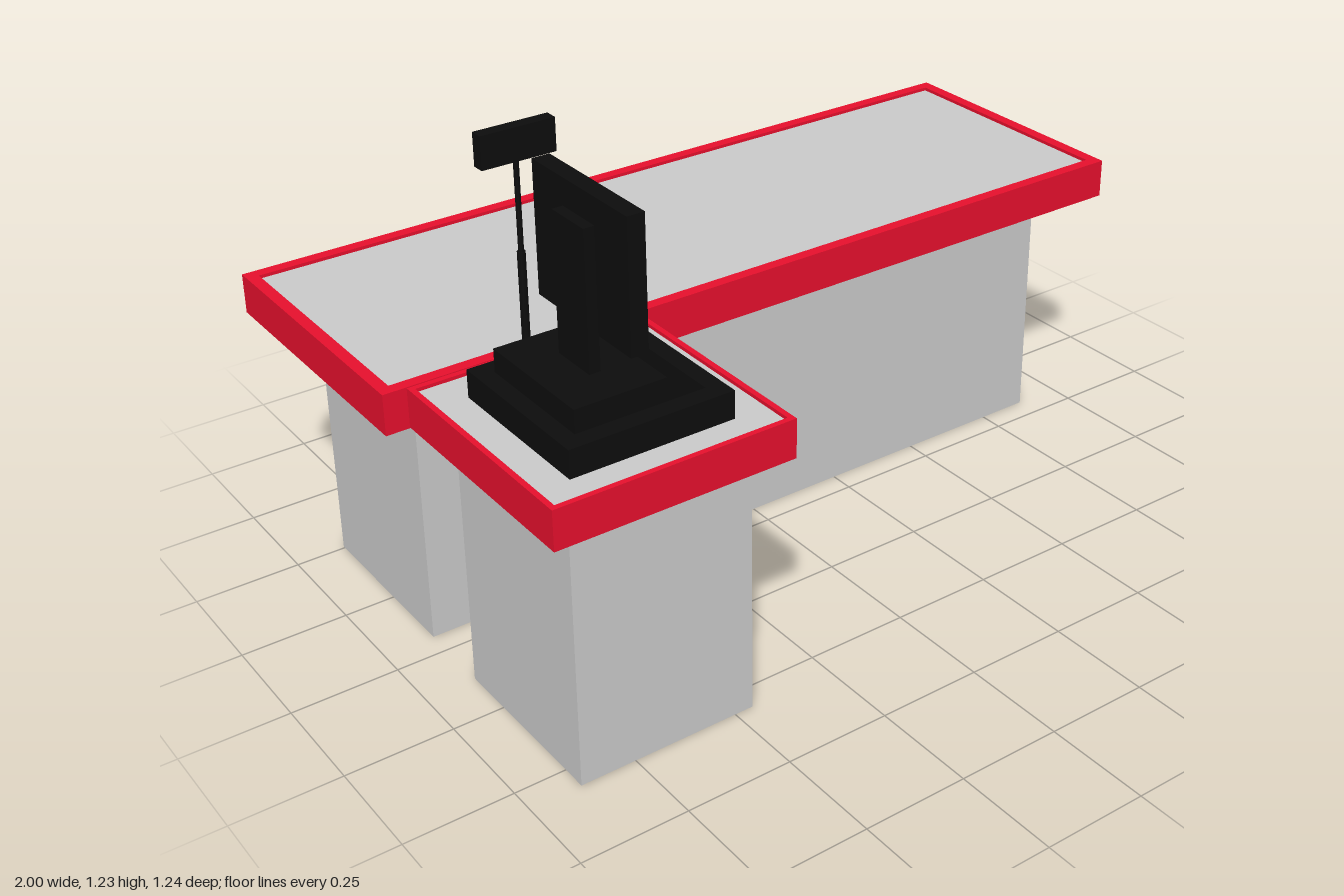
import * as THREE from 'three';

const grey = new THREE.MeshStandardMaterial({ color: 0xcccccc });
const red = new THREE.MeshStandardMaterial({ color: 0xe8102d });
const black = new THREE.MeshStandardMaterial({ color: 0x0d0d0d });

function add(parent, name, geometry, material) {
  const mesh = new THREE.Mesh(geometry, material);
  mesh.name = name;
  parent.add(mesh);
  return mesh;
}

// Box given by its lower and upper bounds on each axis
function box(parent, name, [x0, x1], [y0, y1], [z0, z1], material) {
  const mesh = add(parent, name, new THREE.BoxGeometry(x1 - x0, y1 - y0, z1 - z0), material);
  mesh.position.set((x0 + x1) / 2, (y0 + y1) / 2, (z0 + z1) / 2);
  return mesh;
}

// Rectangle outline, counter-clockwise
function rectPoints(w, d) {
  return [[-w, -d], [w, -d], [w, d], [-w, d]].map(([x, y]) => new THREE.Vector2(x / 2, y / 2));
}

// Pedestal with a red framed worktop and a slightly sunken grey panel
function counter(name, base, top, rim) {
  const group = new THREE.Group();
  group.name = name;
  const { x, y, z } = top;
  const w = x[1] - x[0], d = z[1] - z[0];
  box(group, 'pedestal', base.x, [0, y[0]], base.z, grey);

  const frame = new THREE.Shape(rectPoints(w, d));
  frame.holes.push(new THREE.Path(rectPoints(w - 2 * rim, d - 2 * rim).reverse()));
  const frameGeometry = new THREE.ExtrudeGeometry(frame, { depth: y[1] - y[0], bevelEnabled: false });
  frameGeometry.rotateX(-Math.PI / 2);
  add(group, 'worktopFrame', frameGeometry, red)
    .position.set((x[0] + x[1]) / 2, y[0], (z[0] + z[1]) / 2);

  const innerX = [x[0] + rim, x[1] - rim], innerZ = [z[0] + rim, z[1] - rim];
  box(group, 'worktopUnderside', innerX, [y[0], y[1] - 0.03], innerZ, red);
  box(group, 'worktopPanel', innerX, [y[1] - 0.03, y[1] - 0.008], innerZ, grey);
  return group;
}

// Till with stepped body, upright and a screen facing +x
function register() {
  const group = new THREE.Group();
  group.name = 'cashRegister';
  box(group, 'registerBase', [-0.86, -0.48], [0.7, 0.767], [0.155, 0.54], black);

  const profile = new THREE.Shape(
    [[-0.82, 0.767], [-0.52, 0.767], [-0.61, 0.82], [-0.82, 0.82]].map(([x, y]) => new THREE.Vector2(x, y))
  );
  const body = new THREE.ExtrudeGeometry(profile, { depth: 0.3, bevelEnabled: false });
  add(group, 'registerBody', body, black).position.z = 0.198;

  box(group, 'screenUpright', [-0.725, -0.699], [0.82, 1.13], [0.29, 0.402], black);
  box(group, 'screen', [-0.7, -0.66], [0.897, 1.19], [0.18, 0.515], black);
  return group;
}

// Telescopic pole carrying a small customer display
function poleDisplay() {
  const group = new THREE.Group();
  group.name = 'poleDisplay';
  const sections = [['lowerPole', 0.009, 0.7, 0.95], ['upperPole', 0.006, 0.95, 1.155]];
  for (const [name, r, y0, y1] of sections) {
    add(group, name, new THREE.CylinderGeometry(r, r, y1 - y0, 16), black)
      .position.set(-0.682, (y0 + y1) / 2, 0.085);
  }
  box(group, 'displayHead', [-0.767, -0.597], [1.152, 1.225], [0.071, 0.1], black);
  return group;
}

export function createModel() {
  const model = new THREE.Group();
  model.name = 'checkoutCounter';
  model.add(
    counter('mainCounter',
      { x: [-0.88, 0.88], z: [-0.505, -0.06] },
      { x: [-1, 1], y: [0.615, 0.71], z: [-0.622, 0.056] }, 0.028),
    counter('tillCounter',
      { x: [-0.88, -0.455], z: [0.126, 0.56] },
      { x: [-0.948, -0.39], y: [0.62, 0.711], z: [0.061, 0.622] }, 0.013),
    register(),
    poleDisplay()
  );
  return model;
}
